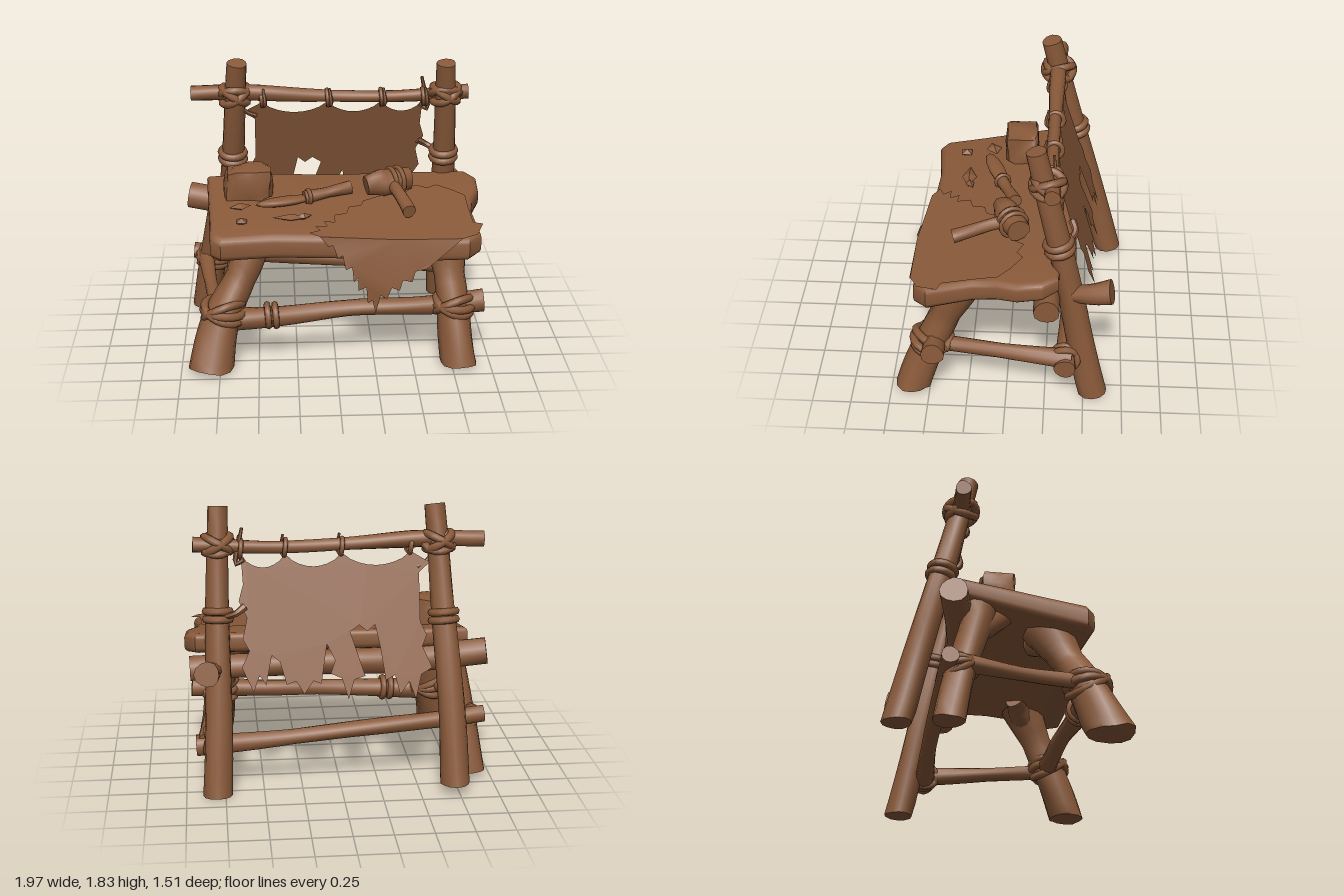
import * as THREE from 'three';
import { toCreasedNormals } from 'three/addons/utils/BufferGeometryUtils.js';

const wood = new THREE.MeshStandardMaterial({ color: 0x8a5a3a });
wood.name = 'brown';
const hide = new THREE.MeshStandardMaterial({ color: 0x8a5a3a, side: THREE.DoubleSide });
hide.name = 'brownHide';

const V = (p) => new THREE.Vector3(...p);
// height of the sloping tabletop
const topY = (z) => 0.97 - 0.155 * z;

export function createModel() {
  const model = new THREE.Group();
  const add = (name, geo, mat = wood) => {
    const mesh = new THREE.Mesh(geo, mat);
    mesh.name = name;
    model.add(mesh);
    return mesh;
  };

  // Knobbly log: rings along a curve with varying radius, closed ends, cut flat at the floor
  function log(name, pts, radii, wobble = 0.09, sides = 12, floor = 0) {
    const curve = new THREE.CatmullRomCurve3(pts.map(V));
    const seg = (pts.length - 1) * 5;
    const fr = curve.computeFrenetFrames(seg);
    const pos = [], idx = [];
    for (let i = 0; i <= seg; i++) {
      const t = i / seg, f = t * (radii.length - 1);
      const k = Math.min(Math.floor(f), radii.length - 2);
      const r = THREE.MathUtils.lerp(radii[k], radii[k + 1], f - k);
      const c = curve.getPointAt(t);
      for (let j = 0; j < sides; j++) {
        const a = (j / sides) * Math.PI * 2;
        const w = r * (1 + wobble * Math.sin(2 * a + i * 0.5) * Math.cos(a + pts[0][0] * 9));
        const p = c.clone().addScaledVector(fr.normals[i], Math.cos(a) * w)
          .addScaledVector(fr.binormals[i], Math.sin(a) * w);
        pos.push(p.x, Math.max(p.y, floor), p.z);
      }
    }
    const a = curve.getPoint(0), b = curve.getPoint(1), n = (seg + 1) * sides;
    pos.push(a.x, Math.max(a.y, floor), a.z, b.x, b.y, b.z);
    for (let j = 0; j < sides; j++) {
      const j2 = (j + 1) % sides, e = seg * sides;
      for (let i = 0; i < seg; i++) {
        const p = i * sides + j, q = i * sides + j2;
        idx.push(p, q, p + sides, q, q + sides, p + sides);
      }
      idx.push(n, j2, j, n + 1, e + j, e + j2);
    }
    const geo = new THREE.BufferGeometry();
    geo.setAttribute('position', new THREE.Float32BufferAttribute(pos, 3));
    geo.setIndex(idx);
    return add(name, toCreasedNormals(geo, 0.9));
  }

  // Rope loop around an axis
  function ring(name, c, axis, R, r = 0.022) {
    const mesh = add(name, new THREE.TorusGeometry(R, r, 7, 20));
    mesh.position.set(...c);
    mesh.quaternion.setFromUnitVectors(new THREE.Vector3(0, 0, 1), V(axis).normalize());
  }
  const lashing = (name, c, axes, R, r) => axes.forEach((a) => ring(name, c, a, R, r));

  // Flat outline bent into place by a rule
  function sheet(name, pts, place) {
    const geo = new THREE.ShapeGeometry(new THREE.Shape(pts.map((p) => new THREE.Vector2(...p))));
    const P = geo.attributes.position;
    for (let i = 0; i < P.count; i++) P.setXYZ(i, ...place(P.getX(i), P.getY(i)));
    geo.computeVertexNormals();
    return add(name, geo, hide);
  }

  // Tall back posts
  log('backPostRight', [[-0.72, 0.06, -0.66], [-0.69, 0.8, -0.48], [-0.65, 1.4, -0.33], [-0.615, 1.82, -0.23]], [0.095, 0.085, 0.075, 0.066], 0.09, 12, 0.08);
  log('backPostLeft', [[0.8, 0, -0.56], [0.78, 0.7, -0.42], [0.77, 1.3, -0.29], [0.76, 1.82, -0.18]], [0.095, 0.085, 0.075, 0.063], 0.09, 12, 0.01);
  log('postStub', [[0.8, 0.8, -0.38], [0.83, 0.83, -0.52], [0.85, 0.86, -0.66]], [0.05, 0.065, 0.08]);

  // Table legs with spreading tops
  log('frontLegRight', [[-0.81, 0.0, 0.62], [-0.73, 0.35, 0.5], [-0.6, 0.6, 0.385], [-0.53, 0.84, 0.27]], [0.148, 0.125, 0.1, 0.15], 0.09, 12, 0.03);
  log('frontLegLeft', [[0.795, 0.0, 0.615], [0.765, 0.35, 0.49], [0.735, 0.6, 0.385], [0.73, 0.84, 0.28]], [0.115, 0.11, 0.1, 0.15], 0.09, 12, 0.03);
  log('rearLegRight', [[-0.87, 0.03, -0.36], [-0.82, 0.4, -0.28], [-0.73, 0.85, -0.17]], [0.1, 0.09, 0.1], 0.09, 12, 0.04);
  log('legForkRight', [[-0.59, 0.66, 0.35], [-0.48, 0.75, 0.27], [-0.38, 0.79, 0.2]], [0.07, 0.08, 0.065]);
  log('legForkLeft', [[0.73, 0.66, 0.35], [0.64, 0.75, 0.27], [0.53, 0.8, 0.21]], [0.07, 0.08, 0.065]);
  log('rearFork', [[-0.8, 0.62, -0.24], [-0.69, 0.78, -0.1], [-0.62, 0.88, -0.02]], [0.06, 0.075, 0.08]);

  // Rails
  log('topRail', [[-0.93, 1.6, -0.29], [-0.6, 1.61, -0.28], [-0.1, 1.58, -0.27], [0.4, 1.57, -0.27], [0.92, 1.595, -0.28]], [0.05, 0.055, 0.04, 0.04, 0.05]);
  log('tableBackRail', [[-0.96, 0.865, -0.35], [-0.5, 0.8, -0.27], [0.2, 0.79, -0.25], [0.96, 0.77, -0.26]], [0.088, 0.09, 0.08, 0.082]);
  log('lowFrontRail', [[-0.8, 0.31, 0.52], [-0.4, 0.33, 0.5], [0.1, 0.36, 0.47], [0.5, 0.37, 0.47], [0.96, 0.4, 0.46]], [0.08, 0.065, 0.053, 0.058, 0.075]);
  log('lowBackRail', [[-0.95, 0.44, -0.36], [-0.3, 0.38, -0.38], [0.4, 0.32, -0.39], [0.93, 0.29, -0.38]], [0.055, 0.055, 0.05, 0.07]);
  log('lowSideRailLeft', [[0.78, 0.365, 0.52], [0.82, 0.35, 0.1], [0.86, 0.315, -0.42]], [0.05, 0.048, 0.065]);
  log('lowSideRailRight', [[-0.76, 0.38, 0.52], [-0.82, 0.39, 0.1], [-0.87, 0.44, -0.36]], [0.05, 0.042, 0.06]);

  // Rope lashings at the joints
  const crossed = [[0.4, 1, 0.2], [-0.4, 1, -0.6], [0.1, 1, -0.1]];
  lashing('legLashing', [-0.725, 0.37, 0.495], crossed, 0.13, 0.027);
  lashing('legLashing', [0.765, 0.38, 0.48], crossed, 0.12, 0.027);
  lashing('legLashing', [-0.82, 0.41, -0.29], crossed, 0.098);
  lashing('railLashing', [0.84, 0.315, -0.38], [[1, 0.2, 0.3], [1, -0.3, 0]], 0.082);
  const knot = [[0.6, 1, 0], [-0.6, 1, 0.3], [0, 1, -0.6]];
  lashing('postLashing', [-0.64, 1.59, -0.28], knot, 0.096, 0.027);
  lashing('postLashing', [0.765, 1.59, -0.25], knot, 0.094, 0.027);
  for (const dy of [0, 0.05]) {
    ring('postBand', [-0.665, 1.1 + dy, -0.405 + dy * 0.25], [0.06, 1, 0.23], 0.078, 0.026);
    ring('postBand', [0.772, 1.12 + dy, -0.33 + dy * 0.22], [-0.02, 1, 0.21], 0.076, 0.026);
    ring('railBand', [-0.44 + dy, 0.335, 0.5], [1, 0.06, -0.06], 0.07);
  }

  // Thick worn tabletop, sheared to its slope and thinner at the back
  const outline = [[-0.8, -0.27], [-0.785, 0], [-0.77, 0.25], [-0.76, 0.48], [-0.72, 0.51], [-0.4, 0.48], [0, 0.5], [0.4, 0.55],
    [0.83, 0.54], [0.89, 0.48], [0.865, 0.2], [0.89, 0.05], [0.945, -0.08], [0.95, -0.22], [0.9, -0.29], [0.6, -0.29], [0, -0.27], [-0.5, -0.3]];
  const slab = new THREE.ExtrudeGeometry(new THREE.Shape(outline.map(([x, z]) => new THREE.Vector2(x, -z))),
    { depth: 0.07, bevelThickness: 0.04, bevelSize: 0.04, bevelSegments: 3 });
  slab.rotateX(-Math.PI / 2);
  const S = slab.attributes.position;
  for (let i = 0; i < S.count; i++) {
    const z = S.getZ(i);
    S.setY(i, topY(z) + (S.getY(i) - 0.11) * (0.93 + 0.25 * z));
  }
  add('tabletop', toCreasedNormals(slab, 0.7));

  // Ragged hide hanging in scallops from the top rail
  const ties = [-0.46, -0.02, 0.34, 0.62];
  const back = [[-0.58, 1.46]];
  for (let s = 0; s < 3; s++) {
    for (let i = 0; i < 8; i++) {
      const t = i / 8;
      back.push([THREE.MathUtils.lerp(ties[s], ties[s + 1], t), 1.53 - 0.08 * Math.sin(Math.PI * t) ** 0.7]);
    }
  }
  back.push([0.62, 1.54], [0.61, 1.35], [0.64, 1.25], [0.59, 1.15], [0.62, 1.02],
    [0.58, 0.95], [0.63, 0.85], [0.56, 0.7], [0.52, 0.8], [0.48, 0.74], [0.44, 0.92], [0.39, 0.88], [0.35, 0.74], [0.29, 0.76],
    [0.24, 0.68], [0.18, 0.76], [0.13, 0.74], [0.09, 0.98], [0.04, 0.88], [0.07, 0.8], [0, 0.77], [-0.04, 0.64], [-0.08, 0.76],
    [-0.15, 0.78], [-0.11, 0.9], [-0.06, 1.05], [-0.12, 1.09], [-0.17, 1.05], [-0.22, 1.09], [-0.25, 0.95], [-0.28, 0.75],
    [-0.34, 0.78], [-0.37, 0.66], [-0.43, 0.74], [-0.47, 0.63], [-0.51, 0.78], [-0.58, 0.82], [-0.52, 0.95], [-0.55, 1.02], [-0.51, 1.1], [-0.51, 1.4]);
  sheet('backHide', back, (x, y) => [x, y, -0.3 - (1.53 - y) * 0.31]);

  // Ties holding the hide
  for (const x of ties) {
    ring('hideTie', [x, 1.565, -0.275], [1, 0.1, 0], 0.052, 0.016);
    log('tieEnd', [[x, 1.5, -0.3], [x + 0.02, 1.54, -0.22], [x + 0.01, 1.64, -0.23]], [0.012, 0.016, 0.008], 0, 6);
  }
  log('cornerCord', [[-0.5, 1.43, -0.32], [-0.56, 1.46, -0.3], [-0.63, 1.55, -0.27]], [0.016, 0.014, 0.016], 0, 6);
  log('cornerCord', [[0.6, 1.5, -0.31], [0.65, 1.47, -0.3], [0.61, 1.7, -0.28]], [0.014, 0.018, 0.01], 0, 6);
  log('sideCord', [[0.6, 1.22, -0.4], [0.66, 1.18, -0.42], [0.75, 1.14, -0.36]], [0.025, 0.02, 0.018], 0, 6);

  // Hide spread over the tabletop, with a ragged flap over the front
  const spread = [[-0.1, 0.55], [-0.17, 0.5], [-0.1, 0.47], [-0.13, 0.42], [-0.05, 0.42], [-0.07, 0.36], [0, 0.37], [0, 0.28], [0.08, 0.26],
    [0.1, 0.18], [0.18, 0.16], [0.2, 0.1], [0.35, 0.02], [0.5, -0.02], [0.56, -0.1], [0.64, -0.06], [0.7, -0.1], [0.8, -0.03],
    [0.88, 0.05], [0.88, 0.2], [0.89, 0.4], [0.95, 0.42], [0.9, 0.55], [0.8, 0.6], [0.4, 0.6]];
  sheet('tableHide', spread.map(([x, z]) => [x, -z]), (x, y) => [x, topY(-y) + 0.012, -y]);
  const flap = [[-0.1, 0.895], [-0.05, 0.83], [-0.02, 0.84], [0.01, 0.76], [0.04, 0.78], [0.06, 0.69], [0.1, 0.71], [0.11, 0.61], [0.14, 0.64],
    [0.14, 0.55], [0.19, 0.57], [0.2, 0.46], [0.23, 0.48], [0.25, 0.39], [0.28, 0.52], [0.32, 0.5], [0.35, 0.58], [0.4, 0.56], [0.42, 0.63],
    [0.48, 0.61], [0.5, 0.68], [0.57, 0.7], [0.68, 0.79], [0.8, 0.889], [0.4, 0.889]];
  sheet('hideFlap', flap, (x, y) => [x, y, 0.546 + 0.104 * Math.min(0.5, x + 0.1)
    + 0.045 * Math.min(1, (0.895 - y) * 4) + 0.01 * Math.sin(x * 22) * Math.min(1, (0.895 - y) * 8)]);

  // Rough rounded stone block
  const stone = new THREE.BoxGeometry(0.25, 0.19, 0.19, 4, 4, 4);
  const B = stone.attributes.position;
  for (let i = 0; i < B.count; i++) {
    const x = B.getX(i), y = B.getY(i), z = B.getZ(i);
    const k = 1.25 - 9 * (x * x + y * y + z * z) + 0.08 * Math.sin(x * 31 + y * 23 + z * 17);
    B.setXYZ(i, x * k * 1.15, y * k * 0.96 + x * 0.06, z * k);
  }
  const block = add('stoneBlock', toCreasedNormals(stone, 0.8));
  block.position.set(-0.555, 1.06, -0.04);

  // Knife: flattened blade, collar and handle
  const blade = add('knifeBlade', new THREE.SphereGeometry(1, 12, 8));
  blade.scale.set(0.2, 0.03, 0.055);
  blade.position.set(-0.32, 0.98, 0.125);
  blade.rotation.y = 0.34;
  log('knifeHandle', [[-0.19, 0.99, 0.085], [-0.04, 1.0, 0.035], [0.12, 1.02, -0.02]], [0.045, 0.035, 0.045]);
  ring('knifeCollar', [-0.16, 0.99, 0.075], [1, 0.04, -0.34], 0.045, 0.014);

  // Stone hammer
  log('hammerHead', [[0.22, 1.05, 0.05], [0.28, 1.06, 0.035], [0.4, 1.06, -0.015], [0.51, 1.06, -0.06]], [0.065, 0.092, 0.085, 0.075], 0.1, 10);
  log('hammerHandle', [[0.38, 1.06, -0.04], [0.42, 1.04, 0.12], [0.48, 0.985, 0.36]], [0.04, 0.04, 0.045]);
  for (const d of [0, 0.05]) ring('hammerBinding', [0.39 + d, 1.06, -0.01 - d * 0.42], [0.9, 0.02, -0.38], 0.086, 0.016);

  // Chipped points lying on the table
  [[-0.28, 0.31, 0.12, 0.05, 0], [-0.2, 0.3, 0.06, 0.03, 0.4], [-0.61, 0.16, 0.075, 0.055, 0.3], [-0.6, 0.35, 0.05, 0.05, 0.8]].forEach(([x, z, l, w, a]) => {
    const chip = add('stoneChip', new THREE.OctahedronGeometry(1).toNonIndexed());
    chip.scale.set(l, 0.025, w);
    chip.rotation.y = a;
    chip.position.set(x, topY(z) + 0.015, z);
  });

  return model;
}
